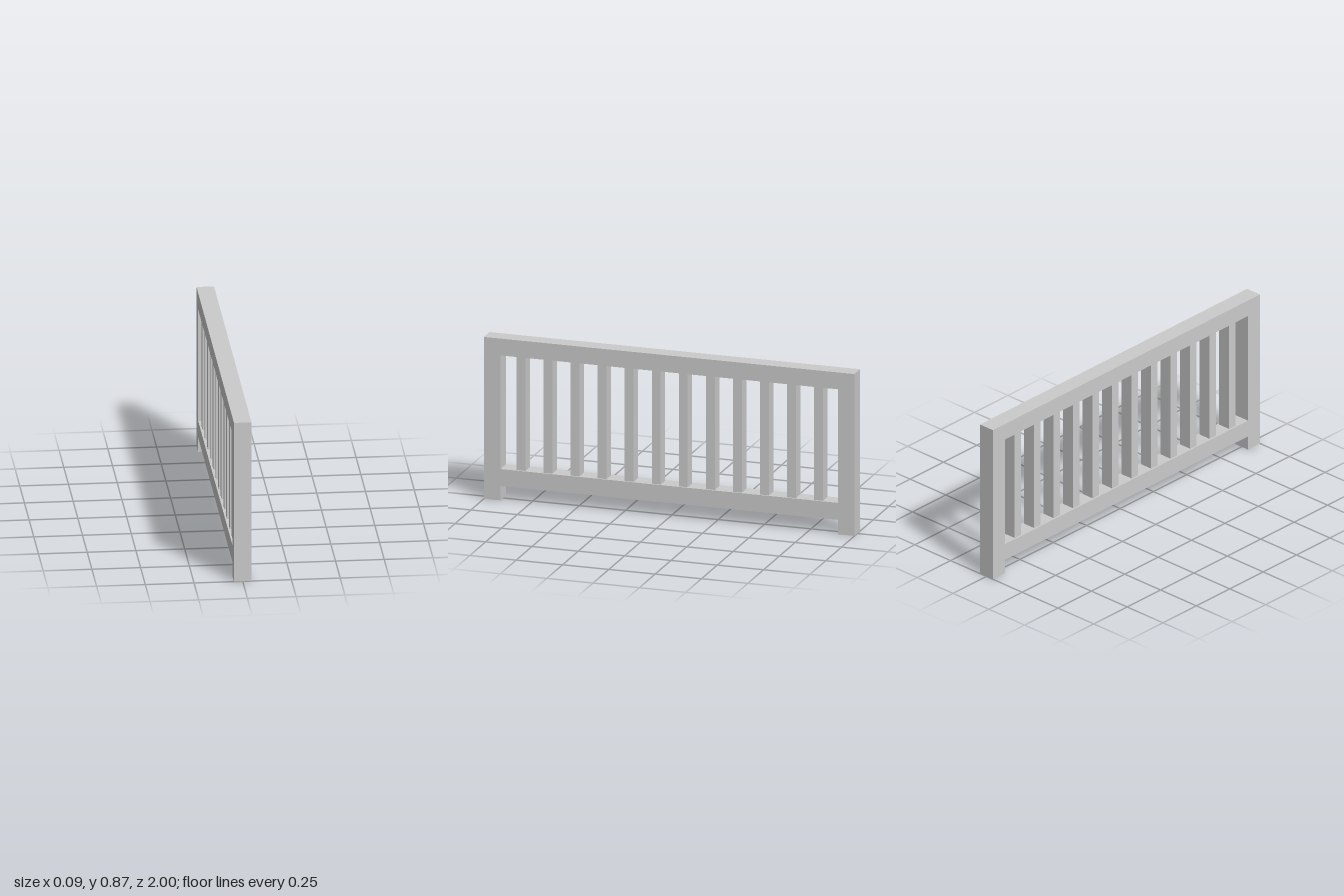
import * as THREE from 'three';

export function createModel() {
  const model = new THREE.Group();
  model.name = 'railing';
  const material = new THREE.MeshStandardMaterial({ color: 0xcccccc, flatShading: true });

  const height = 0.865, depth = 0.09, inner = 0.91;
  const railBottom = 0.077, openBottom = 0.168, openTop = 0.775;
  const points = (list) => list.map(([x, y]) => new THREE.Vector2(x, y));

  // Frame: two posts and two rails in one piece, with the opening as a hole
  const outline = new THREE.Shape(points([
    [-1, 0], [-inner, 0], [-inner, railBottom], [inner, railBottom],
    [inner, 0], [1, 0], [1, height], [-1, height],
  ]));
  outline.holes.push(new THREE.Path(points([
    [-inner, openBottom], [-inner, openTop], [inner, openTop], [inner, openBottom],
  ])));
  const frameGeometry = new THREE.ExtrudeGeometry(outline, { depth, bevelEnabled: false });
  frameGeometry.translate(0, 0, -depth / 2).rotateY(Math.PI / 2);
  const frame = new THREE.Mesh(frameGeometry, material);
  frame.name = 'frame';
  model.add(frame);

  // Balusters: evenly spaced, slightly thinner than the frame
  const count = 12, pitch = 0.146;
  const balusterGeometry = new THREE.BoxGeometry(0.071, openTop - openBottom, 0.048);
  const balusters = new THREE.Group();
  balusters.name = 'balusters';
  for (let i = 0; i < count; i++) {
    const baluster = new THREE.Mesh(balusterGeometry, material);
    baluster.name = `baluster${i + 1}`;
    baluster.position.set(0, (openTop + openBottom) / 2, (i - (count - 1) / 2) * pitch);
    balusters.add(baluster);
  }
  model.add(balusters);

  return model;
}
